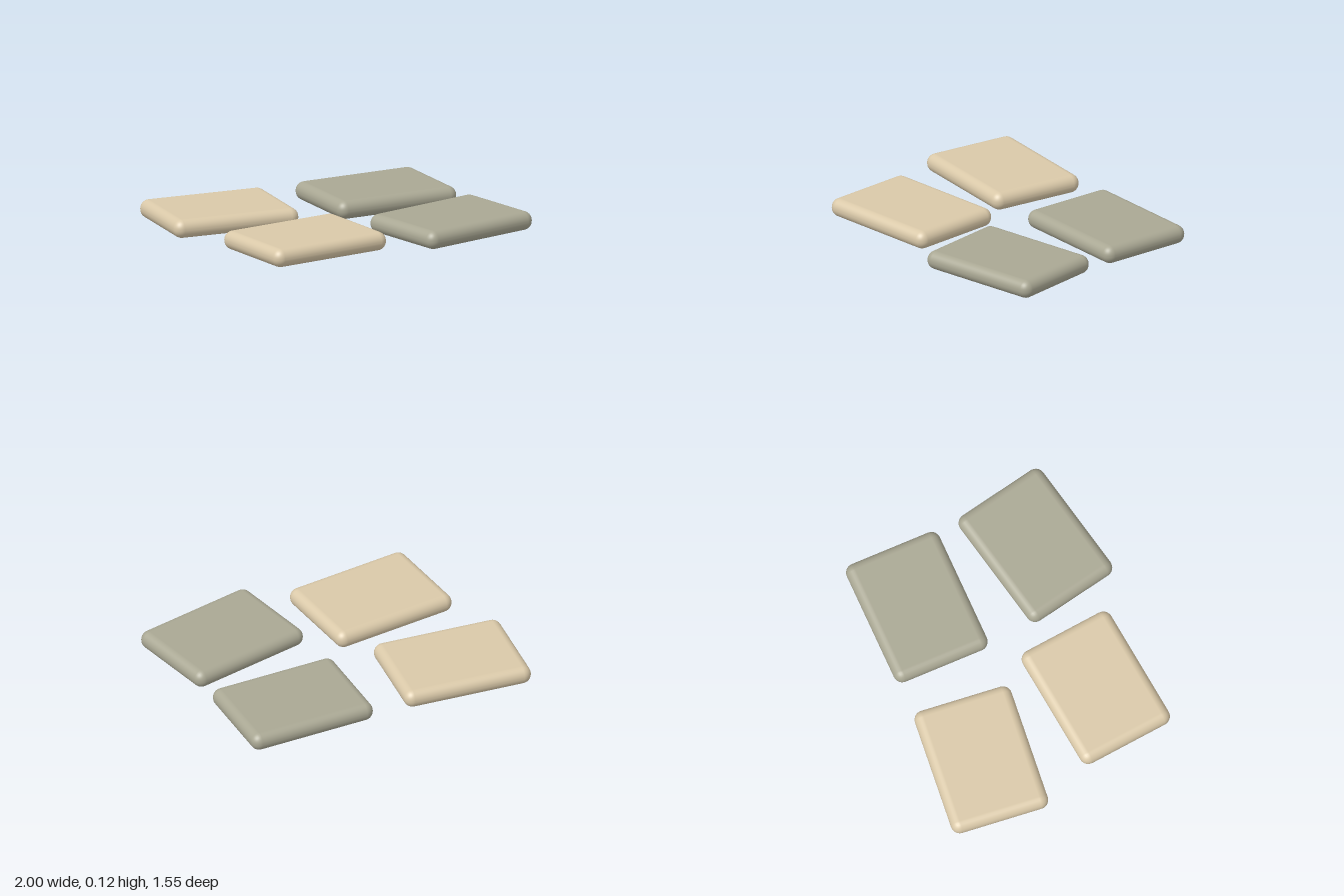
import * as THREE from 'three';
import { RoundedBoxGeometry } from 'three/addons/geometries/RoundedBoxGeometry.js';

const WIDTH = 0.81, HEIGHT = 0.115, DEPTH = 0.61, RADIUS = 0.056;

export function createModel() {
  const group = new THREE.Group();
  group.name = 'steppingStones';

  const sand = new THREE.MeshStandardMaterial({ color: 0xd9c8a8 });
  const slate = new THREE.MeshStandardMaterial({ color: 0xa9a793 });
  const geometry = new RoundedBoxGeometry(WIDTH, HEIGHT, DEPTH, 4, RADIUS);

  // Four identical soft-edged slabs, each turned slightly: name, material, x, z, turn
  const slabs = [
    ['backRightSlab', sand, -0.572, -0.443, -0.1],
    ['backLeftSlab', slate, 0.475, -0.405, 0],
    ['frontRightSlab', sand, -0.427, 0.37, 0.1],
    ['frontLeftSlab', slate, 0.55, 0.404, 0.2],
  ];
  for (const [name, material, x, z, turn] of slabs) {
    const slab = new THREE.Mesh(geometry, material);
    slab.name = name;
    slab.position.set(x, HEIGHT / 2, z);
    slab.rotation.y = turn;
    group.add(slab);
  }
  return group;
}
